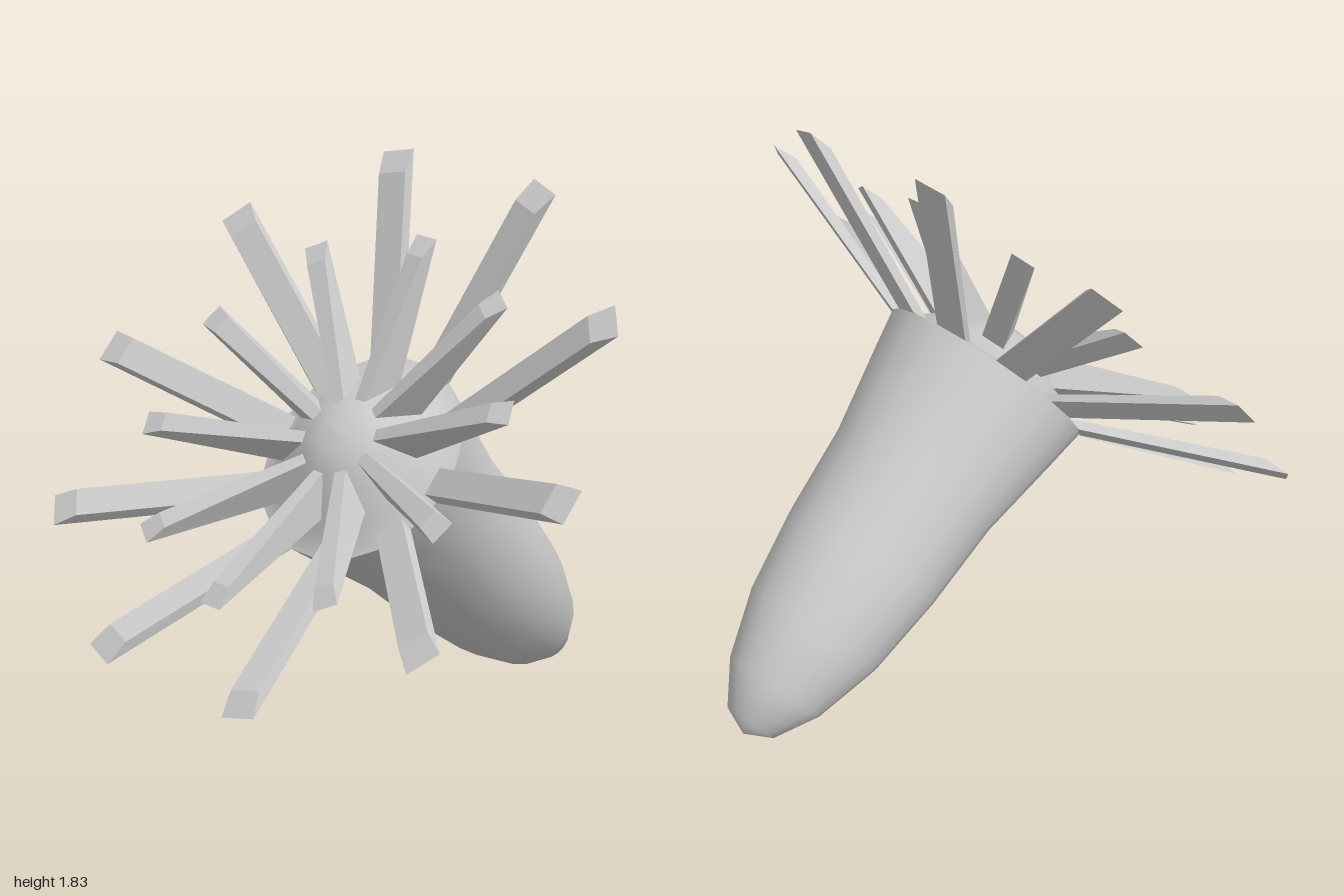
import * as THREE from 'three';

const SEGMENTS = 20;
const material = new THREE.MeshStandardMaterial({ color: 0xcccccc });

// Smooth surface of revolution from [radius, height] pairs
function lathe(name, profile) {
  const points = profile.map(([r, y]) => new THREE.Vector2(r, y));
  const mesh = new THREE.Mesh(new THREE.LatheGeometry(points, SEGMENTS), material);
  mesh.name = name;
  return mesh;
}

// Slanted spike: a box whose ends are moved to [radius, height, halfWidth] corners.
// Its base sits on the crown and its tip leans outwards.
function spike(name, angle, { baseIn, baseOut, tipIn, tipOut }) {
  const geometry = new THREE.BoxGeometry(1, 1, 1);
  const p = geometry.attributes.position;
  for (let i = 0; i < p.count; i++) {
    const outer = p.getZ(i) > 0;
    const tip = p.getY(i) > 0;
    const [r, y, w] = tip ? (outer ? tipOut : tipIn) : (outer ? baseOut : baseIn);
    p.setXYZ(i, Math.sign(p.getX(i)) * w, y, r);
  }
  geometry.computeVertexNormals();
  const mesh = new THREE.Mesh(geometry, material);
  mesh.name = name;
  mesh.rotation.y = Math.PI - THREE.MathUtils.degToRad(angle);
  return mesh;
}

export function createModel() {
  const model = new THREE.Group();
  model.name = 'spikedCarrot';

  // Rounded, tapering body
  model.add(lathe('body', [
    [0, -1.395], [0.088, -1.354], [0.171, -1.217], [0.238, -0.994],
    [0.274, -0.716], [0.292, -0.421], [0.342, -0.13], [0.363, 0],
  ]));

  // Shallow domed crown closing the wide end
  model.add(lathe('crown', [
    [0.363, 0], [0.306, 0.015], [0.25, 0.06], [0.13, 0.14], [0.06, 0.16], [0, 0.165],
  ]));

  // Alternating long outer and short inner spikes
  const long = {
    baseIn: [0.306, 0.01, 0.048], baseOut: [0.363, 0, 0.057],
    tipIn: [0.907, 0.246, 0.05], tipOut: [0.995, 0.243, 0.057],
  };
  const short = {
    baseIn: [0.13, 0.138, 0.02], baseOut: [0.25, 0.058, 0.04],
    tipIn: [0.6, 0.26, 0.033], tipOut: [0.675, 0.255, 0.041],
  };
  for (let i = 0; i < SEGMENTS / 2; i++) {
    model.add(spike('longSpike', -9 + i * 36, long));
    model.add(spike('shortSpike', 9 + i * 36, short));
  }

  // Lean the whole shape so the crown faces forwards and up
  model.rotation.x = Math.atan2(0.79, 0.61);
  model.position.set(0, 0.9, 0.16);

  const root = new THREE.Group();
  root.add(model);
  return root;
}
